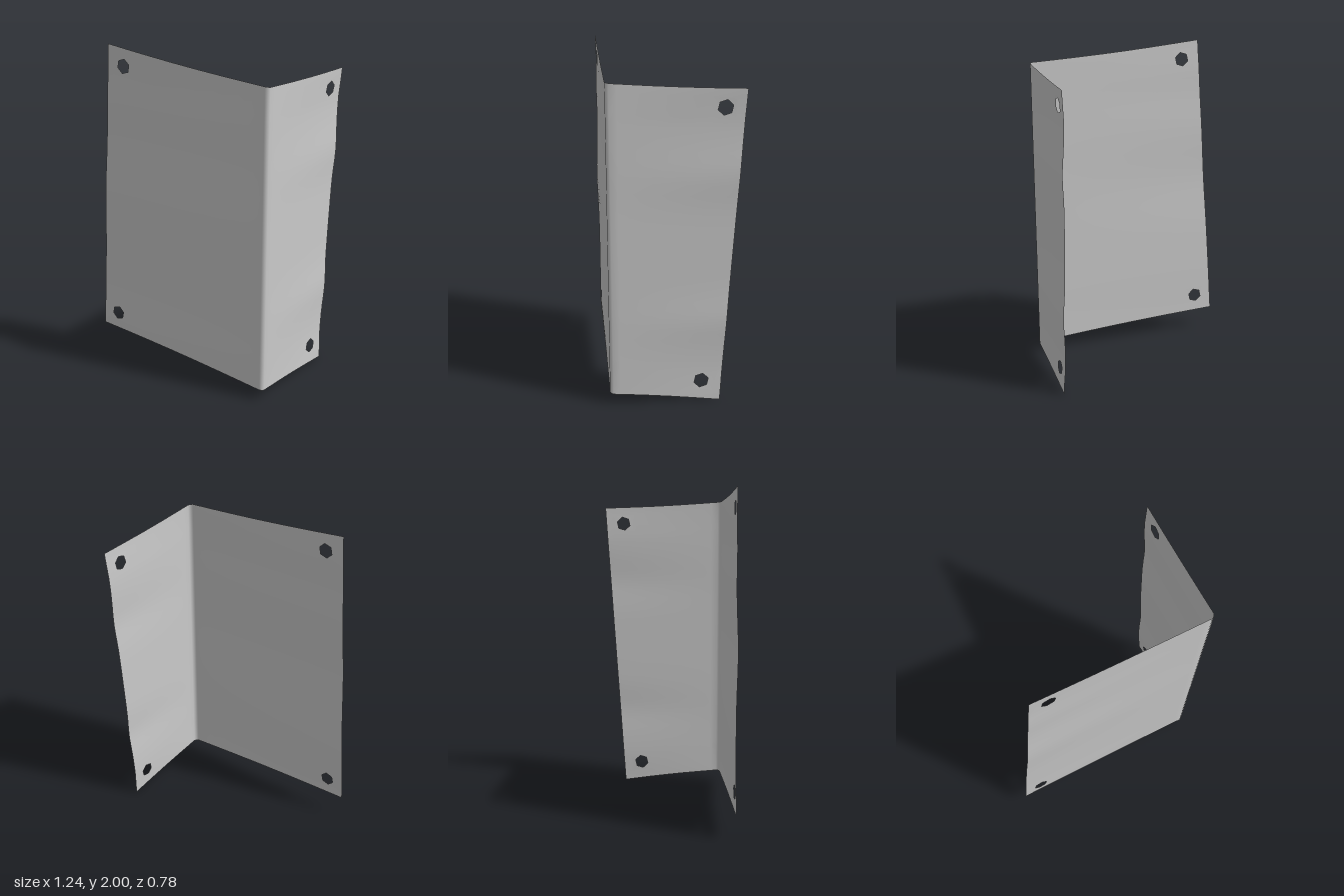
import * as THREE from 'three';
import { mergeGeometries, mergeVertices } from 'three/addons/utils/BufferGeometryUtils.js';

const lerp = THREE.MathUtils.lerp;
const bell = (y, centre, width) => Math.exp(-(((y - centre) / width) ** 2));

// The sheet is laid out flat as (s, y): s runs along the front panel, over the fold, then along the side.
const FOLD_START = 0.585, FOLD_MID = 0.6, FOLD_END = 0.615;
const HOLE_RADIUS = 0.044;
const holes = [[-0.39, 1.88], [-0.505, 0.245], [1.245, 1.765], [1.13, 0.13]];

const rows = [0, 0.03, 0.09];
for (let i = 1; i < 24; i++) rows.push(lerp(0.09, 0.91, i / 24));
rows.push(0.91, 0.975, 1);

// Each panel: edges as [left s bottom, left s top, right s bottom, right s top], y of its corners, and its columns.
const panels = [
  { s: [-0.625, -0.5, FOLD_START, FOLD_START], bottom: [0.14, 0.068], top: [2.0, 1.911], sag: 0.008,
    columns: [0, 0.045, 0.165, 0.3, 0.45, 0.6, 0.75, 0.88, 0.96, 1] },
  { s: [FOLD_START, FOLD_START, FOLD_MID, FOLD_MID], bottom: [0.068, 0.066], top: [1.911, 1.909], sag: 0, columns: [0, 1] },
  { s: [FOLD_MID, FOLD_MID, FOLD_END, FOLD_END], bottom: [0.066, 0.065], top: [1.909, 1.907], sag: 0, columns: [0, 1] },
  { s: [FOLD_END, FOLD_END, 1.24, 1.365], bottom: [0.065, 0], top: [1.907, 1.868], sag: 0.005,
    columns: [0, 0.06, 0.18, 0.35, 0.55, 0.74, 0.935, 1] },
];

function flatPoint(panel, u, v) {
  const bow = panel.sag * Math.sin(Math.PI * u);
  const s = lerp(lerp(panel.s[0], panel.s[1], v), lerp(panel.s[2], panel.s[3], v), u);
  const y = lerp(lerp(...panel.bottom, u) + bow, lerp(...panel.top, u) - bow, v);
  return new THREE.Vector2(s, y);
}

// A grid cell, cut by a six-sided hole where one falls inside it
function cellGeometry(corners) {
  const shape = new THREE.Shape(corners);
  const [a, b, c, d] = corners;
  for (const [hs, hy] of holes) {
    const inside = hs > Math.max(a.x, d.x) && hs < Math.min(b.x, c.x) &&
      hy > Math.max(a.y, b.y) && hy < Math.min(c.y, d.y);
    if (!inside) continue;
    const rim = [];
    for (let i = 0; i < 6; i++) {
      const angle = -i * Math.PI / 3 + 0.3;
      rim.push(new THREE.Vector2(hs + HOLE_RADIUS * Math.cos(angle), hy + HOLE_RADIUS * Math.sin(angle)));
    }
    shape.holes.push(new THREE.Path(rim));
  }
  const geometry = new THREE.ShapeGeometry(shape);
  geometry.deleteAttribute('uv');
  geometry.deleteAttribute('normal');
  return geometry;
}

// Bends the flat sheet round the corner and adds shallow dents that grow toward the free edges
function bend(s, y) {
  if (s <= FOLD_START) {
    const d = (FOLD_START - s) / 1.2;
    const dent = bell(y, 1.08, 0.24) + 0.4 * bell(y, 1.65, 0.14) + 0.4 * bell(y, 1.97, 0.08) + 0.25 * bell(y, 0.2, 0.1);
    return [s, y, 0.38 + 0.011 * d * dent];
  }
  if (s < FOLD_END - 0.001) {
    const t = (s - FOLD_START) / (FOLD_END - FOLD_START);
    return [lerp(0.585, 0.607, t) + 0.01 * t * (1 - t), y, lerp(0.38, 0.36, t) + 0.01 * t * (1 - t)];
  }
  const d = (s - FOLD_END) / 0.75;
  const dent = bell(y, 1.87, 0.1) + bell(y, 1.38, 0.14) + bell(y, 0.5, 0.13) + bell(y, 0.02, 0.09);
  return [0.607 + d * (0.002 + 0.011 * dent), y, 0.36 - (s - FOLD_END)];
}

export function createModel() {
  const cells = [];
  for (const panel of panels) {
    const { columns } = panel;
    for (let i = 0; i < columns.length - 1; i++) {
      for (let j = 0; j < rows.length - 1; j++) {
        cells.push(cellGeometry([
          flatPoint(panel, columns[i], rows[j]), flatPoint(panel, columns[i + 1], rows[j]),
          flatPoint(panel, columns[i + 1], rows[j + 1]), flatPoint(panel, columns[i], rows[j + 1]),
        ]));
      }
    }
  }
  const geometry = mergeVertices(mergeGeometries(cells), 1e-5);
  const position = geometry.attributes.position;
  for (let i = 0; i < position.count; i++) {
    position.setXYZ(i, ...bend(position.getX(i), position.getY(i)));
  }
  geometry.computeVertexNormals();

  const sheet = new THREE.Mesh(geometry, new THREE.MeshStandardMaterial({ color: 0xcccccc, side: THREE.DoubleSide }));
  sheet.name = 'bentSheet';
  const group = new THREE.Group();
  group.name = 'bentMetalPlate';
  group.add(sheet);
  return group;
}
